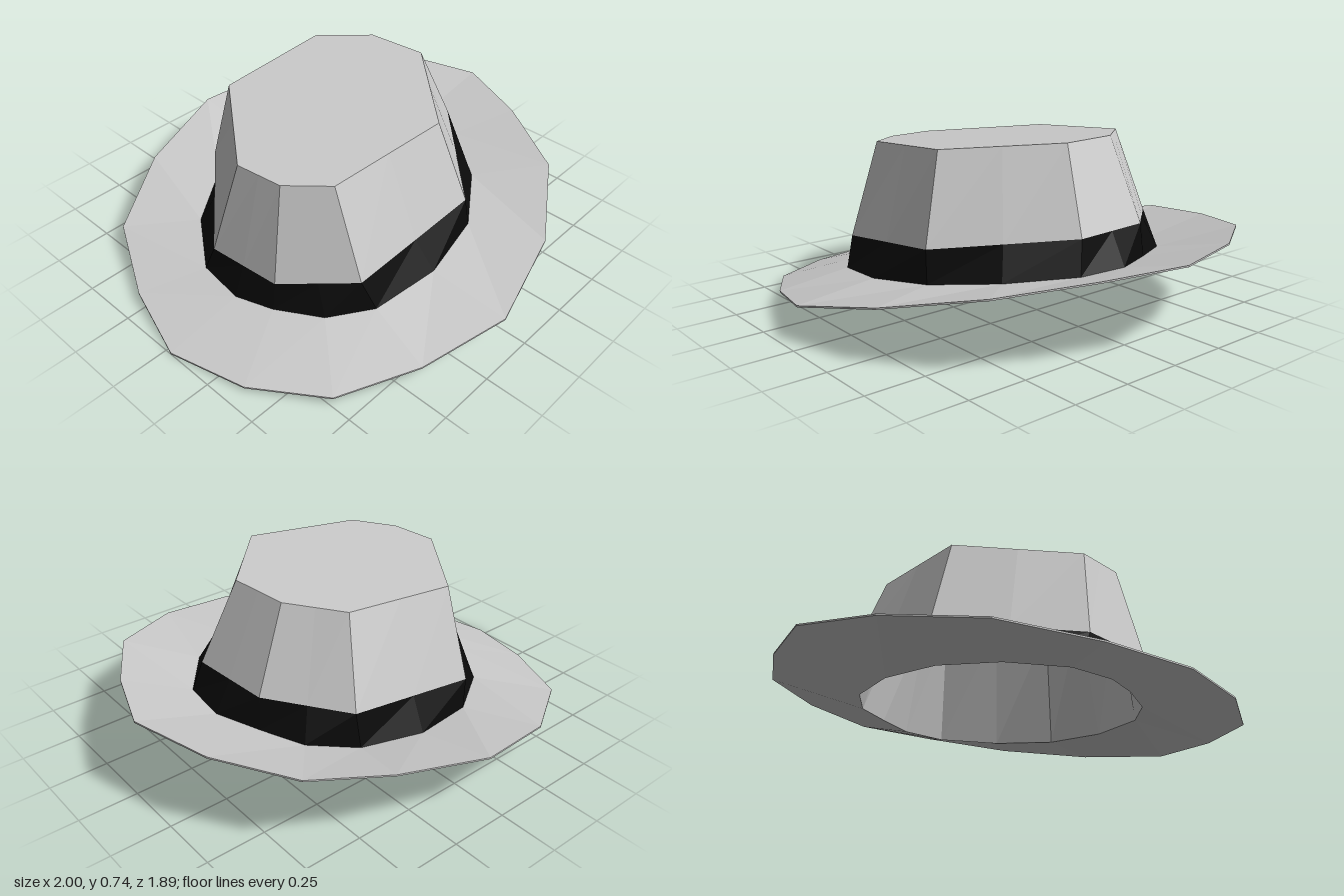
import * as THREE from 'three';

// Quads between two rings of equal length; faces outward when the first ring is lower
function loft(a, b, out = []) {
  const n = a.length;
  for (let i = 0; i < n; i++) {
    const j = (i + 1) % n;
    out.push(...a[i], ...b[i], ...a[j]);
    out.push(...b[i], ...b[j], ...a[j]);
  }
  return out;
}

// Flat cap on a ring; up decides which way it faces
function cap(ring, up, out = []) {
  const c = [0, 1, 2].map(k => ring.reduce((s, p) => s + p[k], 0) / ring.length);
  ring.forEach((p, i) => {
    const q = ring[(i + 1) % ring.length];
    out.push(...(up ? [...p, ...c, ...q] : [...p, ...q, ...c]));
  });
  return out;
}

// Lift [x, z] points onto a plane tilted along x
const tilt = (pts, y, slope) => pts.map(([x, z]) => [x, y + slope * x, z]);

// Add edge midpoints to an 8-point ring, lined up with the 16-point rings
function doubled(ring) {
  const out = ring.flatMap((p, i) => {
    const q = ring[(i + 1) % ring.length];
    return [p, p.map((v, k) => (v + q[k]) / 2)];
  });
  out.push(out.shift());
  return out;
}

const shrink = (ring, s, dy) => ring.map(([x, y, z]) => [x * s, y + dy, z * s]);

function part(name, positions, material) {
  const g = new THREE.BufferGeometry();
  g.setAttribute('position', new THREE.Float32BufferAttribute(positions, 3));
  g.computeVertexNormals();
  const mesh = new THREE.Mesh(g, material);
  mesh.name = name;
  return mesh;
}

export function createModel() {
  const felt = new THREE.MeshStandardMaterial({ color: 0xcccccc, flatShading: true });
  felt.name = 'light grey felt';
  const ribbon = new THREE.MeshStandardMaterial({ color: 0x0a0a0a, flatShading: true });
  ribbon.name = 'black ribbon';

  // Brim outer edge, x y z
  const rim = [
    [0.04, 0.255, -0.95], [0.42, 0.305, -0.85], [0.72, 0.34, -0.7], [0.91, 0.358, -0.4],
    [1, 0.362, -0.05], [0.885, 0.34, 0.27], [0.69, 0.3, 0.61], [0.335, 0.222, 0.84],
    [-0.07, 0.14, 0.94], [-0.435, 0.078, 0.83], [-0.74, 0.03, 0.66], [-0.92, 0.008, 0.37],
    [-1, 0, 0.03], [-0.905, 0.037, -0.295], [-0.725, 0.083, -0.64], [-0.37, 0.163, -0.86],
  ];
  const rimTop = shrink(rim, 1, 0.007);

  // Foot of the band, x z
  const foot = [
    [0.055, -0.615], [0.34, -0.57], [0.51, -0.445], [0.59, -0.27],
    [0.665, -0.08], [0.64, 0.13], [0.46, 0.365], [0.215, 0.535],
    [-0.08, 0.59], [-0.37, 0.54], [-0.53, 0.415], [-0.63, 0.225],
    [-0.68, 0.06], [-0.655, -0.155], [-0.485, -0.39], [-0.24, -0.555],
  ];
  const base = tilt(foot, 0.19, 0.125);
  const opening = tilt(foot.map(([x, z]) => [x * 0.885, z * 0.885]), 0.158, 0.089);

  // Eight-sided crown, lower and upper corners
  const crownLow = doubled(tilt([
    [-0.25, -0.55], [0.34, -0.54], [0.58, -0.257], [0.607, 0.096],
    [0.195, 0.524], [-0.404, 0.49], [-0.618, 0.23], [-0.644, -0.1],
  ], 0.325, 0.132));
  const crownTop = doubled(tilt([
    [-0.227, -0.44], [0.275, -0.42], [0.436, -0.22], [0.46, 0.04],
    [0.126, 0.41], [-0.404, 0.35], [-0.53, 0.19], [-0.553, -0.02],
  ], 0.704, 0.089));
  const ceiling = shrink(crownTop, 0.96, -0.015);

  const hat = new THREE.Group();
  hat.name = 'hat';
  hat.add(
    part('brim', [...loft(rimTop, base), ...loft(rim, rimTop), ...loft(opening, rim)], felt),
    part('band', loft(base, crownLow), ribbon),
    part('crown', [...loft(crownLow, crownTop), ...cap(crownTop, true)], felt),
    part('lining', [...loft(ceiling, opening), ...cap(ceiling, false)], felt),
  );
  return hat;
}
